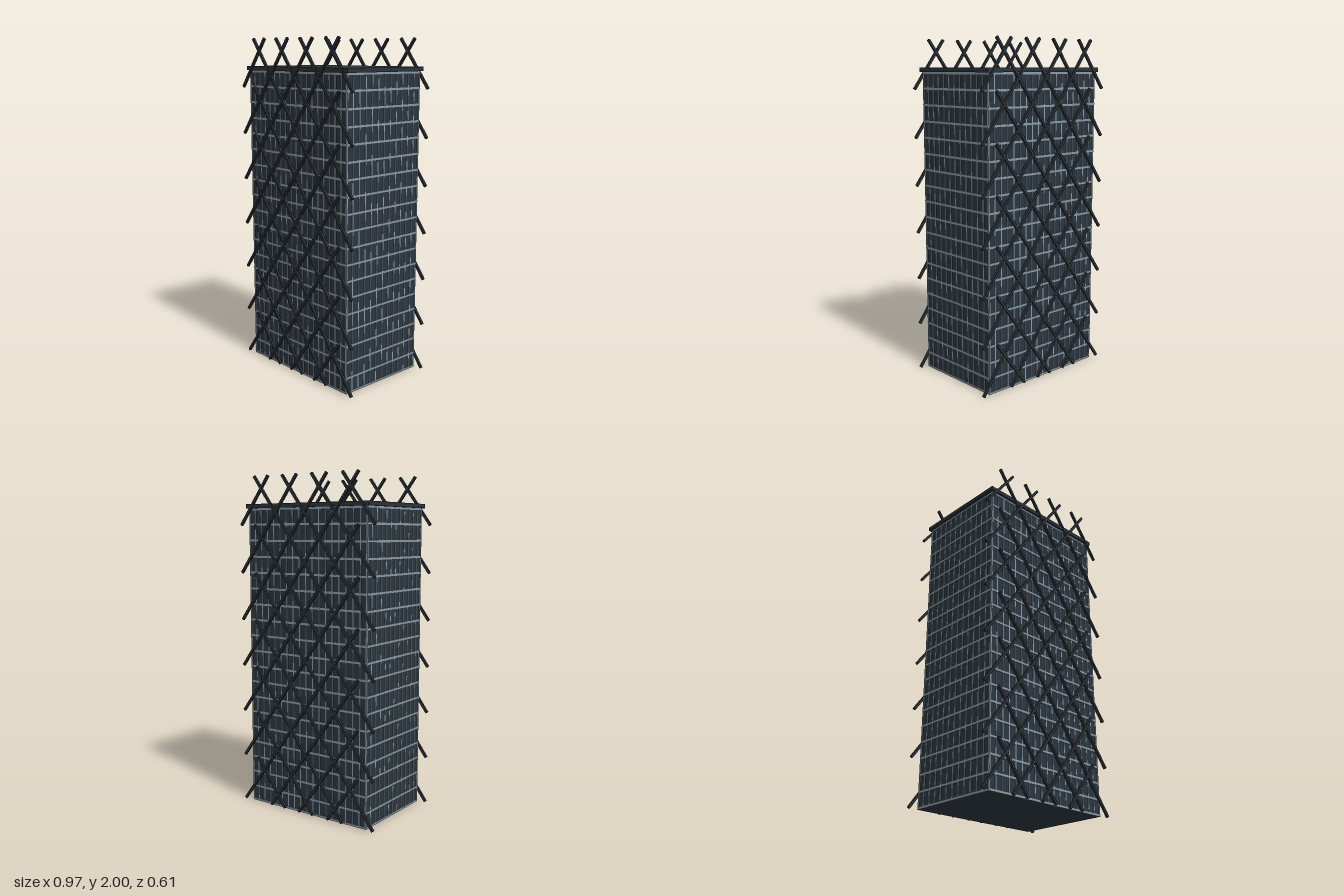
import * as THREE from 'three';

const WIDTH = 0.852, DEPTH = 0.58, HEIGHT = 1.81;
const FLOORS = 19;

const steel = new THREE.MeshStandardMaterial({ color: 0x2a3137 });
steel.name = 'dark steel';
const glass = new THREE.MeshStandardMaterial({ color: 0x2c363f });
glass.name = 'dark glass';
const metal = new THREE.MeshStandardMaterial({ color: 0x8b9ba6 });
metal.name = 'pale metal';

function box(parent, name, material, size, position) {
  const mesh = new THREE.Mesh(new THREE.BoxGeometry(...size), material);
  mesh.name = name;
  mesh.position.set(...position);
  parent.add(mesh);
  return mesh;
}

// One facade grid lying in the xy plane, its outer surface at z = 0
function facade(name, width, bays) {
  const group = new THREE.Group();
  group.name = name;
  const band = 0.012, mullion = 0.006, proud = 0.005;
  for (let i = 0; i <= FLOORS; i++) {
    const y = THREE.MathUtils.clamp((i * HEIGHT) / FLOORS, band / 2, HEIGHT - band / 2);
    box(group, 'floorBand', metal, [width, band, proud], [0, y, -proud / 2]);
  }
  for (let i = 0; i <= bays; i++) {
    const edge = i === 0 || i === bays;
    const w = edge ? 0.009 : mullion;
    const x = THREE.MathUtils.clamp(-width / 2 + (i * width) / bays, -width / 2 + w / 2, width / 2 - w / 2);
    box(group, edge ? 'cornerPost' : 'mullion', metal, [w, HEIGHT, proud - 0.001], [x, HEIGHT / 2, -proud / 2 - 0.0005]);
  }
  return group;
}

// Diagonal lattice: rows of paired bars that join into long crossing lines
function lattice(name, z) {
  const group = new THREE.Group();
  group.name = name;
  const cols = 4, rows = 7, cw = 0.213, ch = 0.2844, bar = 0.015;
  const length = Math.hypot(cw, ch);
  const angle = Math.atan2(ch, cw);
  for (let r = 0; r < rows; r++) {
    for (let c = 0; c < cols; c++) {
      for (const side of [-1, 1]) {
        const x = (c - (cols - 1) / 2) * cw + side * cw / 4;
        const y = 0.0045 + (r + 0.5) * ch;
        const mesh = box(group, 'diagonalBar', steel, [length, bar, 0.014], [x, y, z]);
        mesh.rotation.z = -side * angle;
      }
    }
  }
  return group;
}

export function createModel() {
  const model = new THREE.Group();
  model.name = 'tower';

  // Glazed core and roof slab
  box(model, 'glassCore', glass, [WIDTH - 0.008, HEIGHT, DEPTH - 0.008], [0, HEIGHT / 2, 0]);
  box(model, 'roofSlab', steel, [0.88, 0.025, 0.604], [0, HEIGHT + 0.0125, 0]);

  // Window grids on all four sides
  for (const [name, width, bays, offset, turn] of [
    ['frontFacade', WIDTH, 18, DEPTH / 2, 0],
    ['leftFacade', DEPTH, 12, WIDTH / 2, 1],
    ['backFacade', WIDTH, 18, DEPTH / 2, 2],
    ['rightFacade', DEPTH, 12, WIDTH / 2, 3],
  ]) {
    const grid = facade(name, width, bays);
    const a = (turn * Math.PI) / 2;
    grid.rotation.y = a;
    grid.position.set(Math.sin(a) * offset, 0, Math.cos(a) * offset);
    model.add(grid);
  }

  // Bracing on the two broad faces
  model.add(lattice('frontLattice', 0.299), lattice('backLattice', -0.299));
  return model;
}
